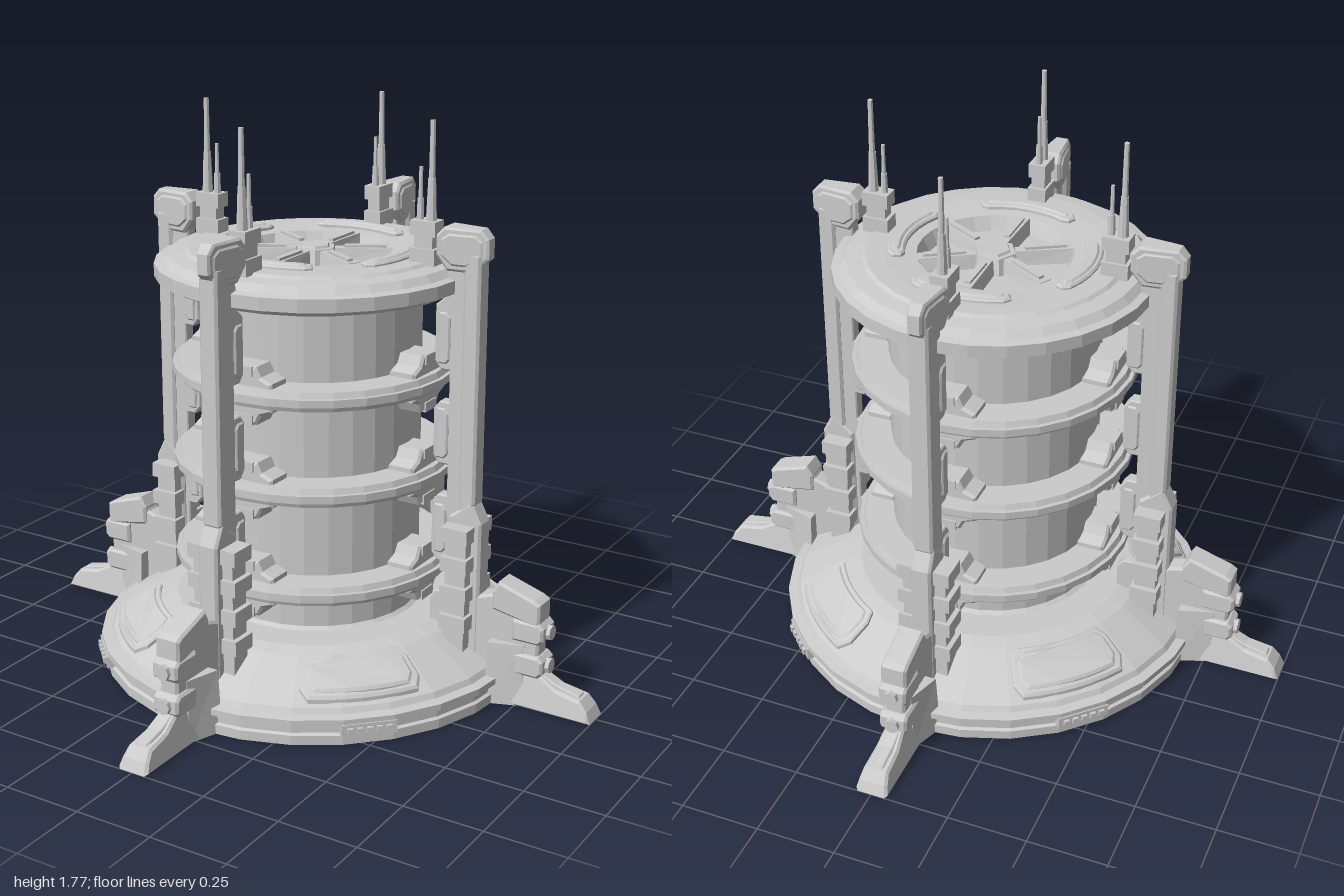
import * as THREE from 'three';

const SEG = 28;
const material = new THREE.MeshStandardMaterial({ color: 0xcccccc, flatShading: true });
const RINGS = [0.36, 0.68, 0.98];

function add(parent, name, geometry, x = 0, y = 0, z = 0) {
  const mesh = new THREE.Mesh(geometry, material);
  mesh.name = name;
  mesh.position.set(x, y, z);
  parent.add(mesh);
  return mesh;
}

const lathe = (pts) =>
  new THREE.LatheGeometry(pts.map(([r, y]) => new THREE.Vector2(r, y)), SEG);

// Flat plate in the xy plane, centred on z, with chamfered rims
function plate(pts, half, bevel = 0.008) {
  const shape = new THREE.Shape(pts.map(([x, y]) => new THREE.Vector2(x, y)));
  const geo = new THREE.ExtrudeGeometry(shape, {
    depth: 2 * (half - bevel), bevelEnabled: bevel > 0, bevelSegments: 1,
    bevelSize: bevel, bevelThickness: bevel, bevelOffset: -bevel,
  });
  return geo.translate(0, 0, -(half - bevel));
}

// Moves every vertex by a rule
function warp(geo, rule) {
  const p = geo.attributes.position;
  const v = new THREE.Vector3();
  for (let i = 0; i < p.count; i++) {
    rule(v.fromBufferAttribute(p, i));
    p.setXYZ(i, v.x, v.y, v.z);
  }
  geo.computeVertexNormals();
  return geo;
}

// Raised ring sector with cut corners, centred on +x, laid on a height rule
function sector(r0, r1, half, height, surface) {
  const pts = [];
  const arc = (r, a, b) => {
    for (let i = 0; i <= 6; i++) {
      const t = a + ((b - a) * i) / 6;
      pts.push([r * Math.cos(t), r * Math.sin(t)]);
    }
  };
  const point = (r, t) => pts.push([r * Math.cos(t), r * Math.sin(t)]);
  const cut = (r1 - r0) * 0.25;
  arc(r1, -half * 0.86, half * 0.86);
  point(r1 - cut, half);
  point(r0 + cut, half);
  arc(r0, half * 0.88, -half * 0.88);
  point(r0 + cut, -half);
  point(r1 - cut, -half);
  const geo = plate(pts, height, 0.006).rotateX(-Math.PI / 2);
  return warp(geo, (v) => { v.y += surface(Math.hypot(v.x, v.z)); });
}

// One radial support: pillar, clamps, buttress, foot and antenna, along +x
function buildSupport() {
  const g = new THREE.Group();
  g.name = 'support';

  // Pillar web, notched around each ring
  const web = [[0.56, 0.15], [0.56, 1.38], [0.47, 1.38], [0.47, 1.26], [0.435, 1.23]];
  [...RINGS].reverse().forEach((y) => web.push(
    [0.435, y + 0.075], [0.455, y + 0.05], [0.485, y + 0.05],
    [0.485, y - 0.05], [0.455, y - 0.05], [0.435, y - 0.075]));
  web.push([0.435, 0.19], [0.45, 0.15]);
  add(g, 'pillarWeb', plate(web.reverse(), 0.022, 0.004));
  for (const y of [0.52, 0.83, 1.13]) {
    add(g, 'pillarInset', plate([[0.447, -0.08], [0.475, -0.08], [0.487, -0.065],
      [0.487, 0.065], [0.475, 0.08], [0.447, 0.08]], 0.028, 0.005), 0, y, 0);
  }
  add(g, 'pillarSpine', plate([[0.53, 0.58], [0.555, 0.57], [0.585, 0.62],
    [0.585, 1.4], [0.53, 1.4]], 0.032));
  add(g, 'pillarFoot', plate([[0.5, 0.12], [0.61, 0.12], [0.61, 0.56],
    [0.575, 0.63], [0.5, 0.57]], 0.034));

  // Pillar head, wider toward the drum
  const head = (inset, half) => warp(plate([
    [0.475 + inset, 1.34 + inset], [0.555 - inset, 1.34 + inset], [0.605 - inset, 1.385],
    [0.605 - inset, 1.445 - inset / 2], [0.58 - inset, 1.472 - inset],
    [0.465 + inset, 1.472 - inset], [0.44 + inset, 1.445 - inset / 2], [0.44 + inset, 1.385]],
  half), (v) => { v.z *= 1 - (v.x - 0.44) * 3; });
  add(g, 'pillarHead', head(0, 0.042));
  add(g, 'pillarHeadPanel', head(0.016, 0.048));

  // Stacked clamps on both faces of the pillar
  for (const s of [-1, 1]) {
    for (let i = 0; i < 7; i++) {
      const wide = i % 2 === 0;
      add(g, 'pillarClamp', new THREE.BoxGeometry(wide ? 0.09 : 0.07, 0.047, wide ? 0.055 : 0.04),
        0.545, 0.24 + i * 0.048, s * (wide ? 0.058 : 0.05));
    }
    add(g, 'clampFoot', new THREE.BoxGeometry(0.07, 0.1, 0.045), 0.545, 0.18, s * 0.05);
  }

  // Outer buttress with side collar, stepped blocks and bolts
  add(g, 'buttress', plate([[0.58, 0.03], [0.8, 0.03], [0.815, 0.1], [0.815, 0.34],
    [0.8, 0.352], [0.68, 0.39], [0.655, 0.345], [0.58, 0.32]], 0.032));
  add(g, 'buttressCap', plate([[0.66, 0.3], [0.82, 0.27], [0.82, 0.345], [0.8, 0.357],
    [0.68, 0.395], [0.66, 0.36]], 0.042));
  add(g, 'buttressCollar', warp(new THREE.BoxGeometry(0.11, 0.2, 0.16), (v) => {
    if (v.x > 0) v.z *= 0.5;
    if (v.y > 0) v.z *= 0.85;
  }), 0.715, 0.1, 0);
  for (const y of [0.14, 0.25]) {
    add(g, 'buttressBlock', plate([[0.73, -0.035], [0.82, -0.035], [0.835, -0.02],
      [0.835, 0.02], [0.82, 0.035], [0.73, 0.035]], 0.045), 0, y, 0);
    add(g, 'buttressBolt', new THREE.CylinderGeometry(0.024, 0.024, 0.02, 8)
      .rotateZ(Math.PI / 2), 0.838, y, 0);
  }
  add(g, 'foot', warp(plate([[0.64, 0], [1, 0], [0.985, 0.035], [0.96, 0.065],
    [0.88, 0.08], [0.81, 0.12], [0.64, 0.12]], 0.046), (v) => {
    v.z *= 1.15 - v.y * 4.5;
  }));
  add(g, 'footRidge', plate([[0.8, 0.04], [0.965, 0.04], [0.95, 0.072],
    [0.88, 0.088], [0.8, 0.125]], 0.02, 0.004));

  // Antenna pair on the roof
  add(g, 'antennaBase', new THREE.BoxGeometry(0.085, 0.05, 0.06), 0.388, 1.37, 0);
  add(g, 'antennaNeck', new THREE.BoxGeometry(0.062, 0.05, 0.044), 0.388, 1.415, 0);
  add(g, 'antennaSocket', new THREE.BoxGeometry(0.085, 0.045, 0.056), 0.388, 1.455, 0);
  add(g, 'antennaSleeve', new THREE.CylinderGeometry(0.012, 0.017, 0.13, 8), 0.403, 1.54, 0);
  add(g, 'antennaMast', new THREE.CylinderGeometry(0.008, 0.01, 0.18, 8), 0.403, 1.685, 0);
  add(g, 'shortSleeve', new THREE.CylinderGeometry(0.01, 0.012, 0.07, 8), 0.366, 1.505, 0);
  add(g, 'shortMast', new THREE.CylinderGeometry(0.006, 0.007, 0.1, 8), 0.366, 1.585, 0);

  // Brackets that grip each ring
  for (const y of RINGS) {
    const outer = [[-0.1, -0.045], [-0.06, -0.06], [-0.045, -0.09], [0.045, -0.09],
      [0.06, -0.06], [0.1, -0.045], [0.1, 0.045], [0.06, 0.06], [0.045, 0.09],
      [-0.045, 0.09], [-0.06, 0.06], [-0.1, 0.045]];
    add(g, 'ringBracket', plate(outer, 0.045).rotateY(Math.PI / 2), 0.365, y, 0);
    for (const s of [-1, 1]) {
      add(g, 'bracketPad', new THREE.BoxGeometry(0.06, 0.03, 0.07), 0.385, y + s * 0.075, 0);
    }
  }

  // Curved rib on the roof
  add(g, 'roofArc', sector(0.275, 0.328, 0.53, 0.012, () => 1.35));
  add(g, 'roofArcInlay', sector(0.288, 0.315, 0.46, 0.008, () => 1.36));
  return g;
}

export function createModel() {
  const model = new THREE.Group();
  model.name = 'reactorTower';

  // Stepped base with a sloping deck
  add(model, 'base', lathe([[0, 0], [0.69, 0], [0.69, 0.03], [0.68, 0.035], [0.68, 0.06],
    [0.7, 0.065], [0.7, 0.085], [0.67, 0.09], [0.66, 0.107], [0.5, 0.197],
    [0.45, 0.21], [0, 0.21]]));

  // Drum and rings
  add(model, 'drum', lathe([[0.36, 0.2], [0.335, 0.22], [0.335, 1.26]]));
  for (const y of RINGS) {
    add(model, 'drumRing', lathe([[0.33, -0.03], [0.43, -0.03], [0.437, -0.012], [0.45, -0.012],
      [0.45, 0.012], [0.437, 0.012], [0.43, 0.03], [0.33, 0.03]]), 0, y, 0);
  }

  // Roof with a round recess
  add(model, 'roof', lathe([[0, 1.25], [0.46, 1.25], [0.475, 1.27], [0.5, 1.27], [0.5, 1.31],
    [0.475, 1.315], [0.455, 1.337], [0.405, 1.343], [0.395, 1.352], [0.34, 1.352],
    [0.24, 1.345], [0.22, 1.3], [0, 1.3]]));
  const hub = add(model, 'roofHub', new THREE.CylinderGeometry(0.065, 0.08, 0.05, 6), 0, 1.325, 0);
  hub.rotation.y = Math.PI / 6;
  const hubCap = add(model, 'roofHubCap', new THREE.CylinderGeometry(0.045, 0.05, 0.01, 6), 0, 1.353, 0);
  hubCap.rotation.y = Math.PI / 6;
  for (let i = 0; i < 6; i++) {
    const spoke = new THREE.Group();
    spoke.name = 'roofSpoke';
    spoke.rotation.y = Math.PI / 6 + (i * Math.PI) / 3;
    add(spoke, 'spokeBeam', warp(new THREE.BoxGeometry(0.18, 0.045, 0.06), (v) => {
      if (v.y > 0) v.z *= 0.65;
      if (v.x < 0) v.z *= 0.75;
    }), 0.15, 1.325, 0);
    add(spoke, 'spokeRidge', new THREE.BoxGeometry(0.13, 0.012, 0.018), 0.155, 1.35, 0);
    model.add(spoke);
  }

  const deck = (r) => 0.197 - (r - 0.5) * 0.5625;
  for (let i = 0; i < 4; i++) {
    const support = buildSupport();
    support.rotation.y = (i * Math.PI) / 2;
    model.add(support);

    // Deck panel and rim vent between the supports
    const bay = new THREE.Group();
    bay.name = 'baseBay';
    bay.rotation.y = Math.PI / 4 + (i * Math.PI) / 2;
    add(bay, 'deckPanel', sector(0.505, 0.645, 0.31, 0.016, deck));
    add(bay, 'deckPanelInlay', sector(0.522, 0.628, 0.275, 0.022, deck));
    add(bay, 'rimVent', new THREE.BoxGeometry(0.04, 0.04, 0.17), 0.68, 0.05, 0);
    for (let k = -2; k <= 2; k++) {
      add(bay, 'ventSlat', new THREE.BoxGeometry(0.015, 0.02, 0.018), 0.702, 0.05, k * 0.03);
    }
    model.add(bay);
  }
  return model;
}
